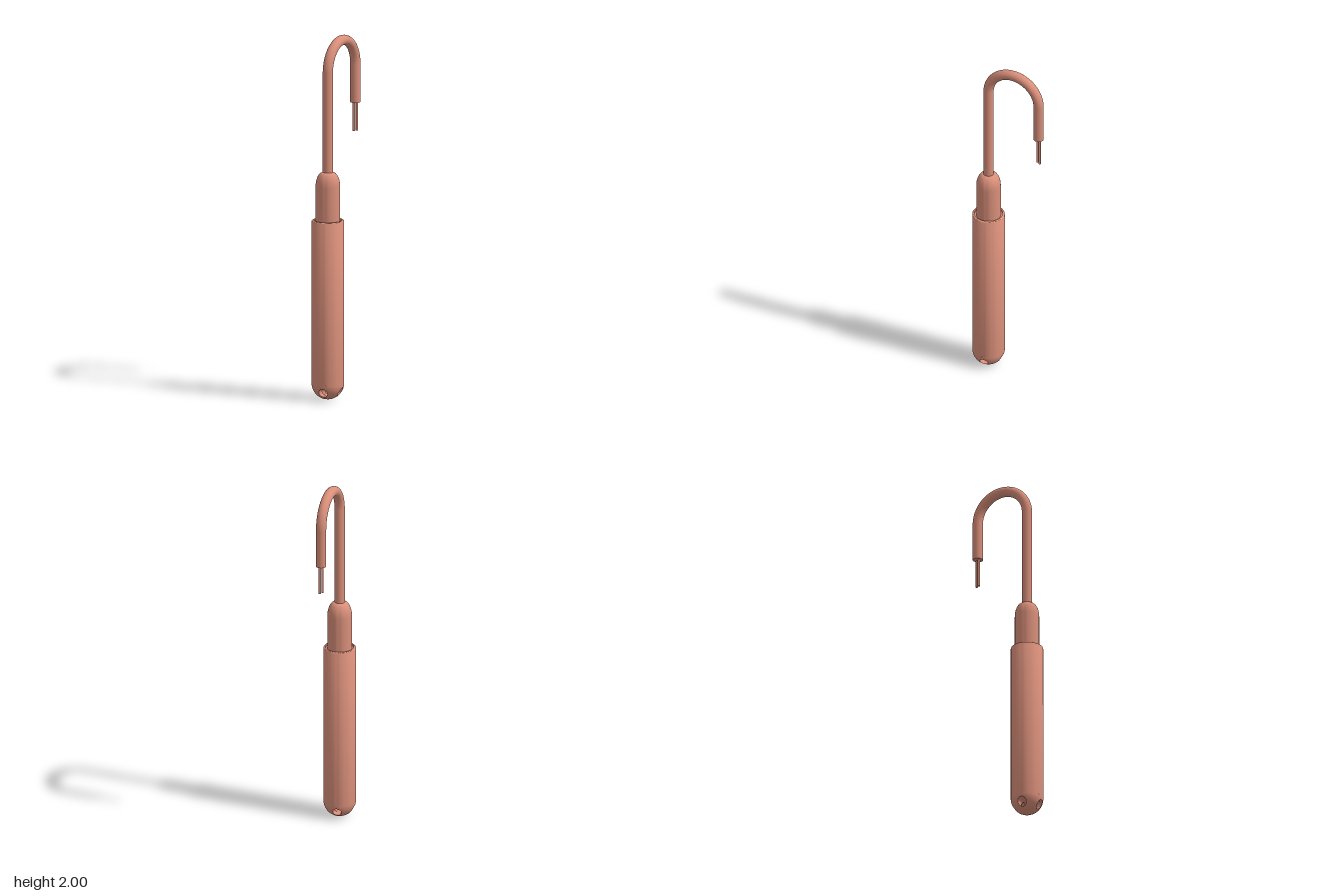
import * as THREE from 'three';
import { mergeGeometries, toCreasedNormals } from 'three/addons/utils/BufferGeometryUtils.js';

const R = 0.089;                 // body radius
const CX = -0.011, CZ = 0.119;   // body axis
const EX = 0.07, EZ = -0.18;     // hanging cable end

const material = new THREE.MeshStandardMaterial({ color: 0xd98f7a });

function add(parent, name, geometry, x = 0, y = 0, z = 0) {
  const mesh = new THREE.Mesh(geometry, material);
  mesh.name = name;
  mesh.position.set(x, y, z);
  parent.add(mesh);
  return mesh;
}

const lathe = (points, sides) =>
  new THREE.LatheGeometry(points.map(([r, y]) => new THREE.Vector2(r, y)), sides);

// Vertical rod between two heights
function rod(parent, name, radius, y0, y1, x, z, sides = 24) {
  return add(parent, name, new THREE.CylinderGeometry(radius, radius, y1 - y0, sides), x, (y0 + y1) / 2, z);
}

// One quarter of the round bottom with a hole facing +z, plus the hole wall
// running in to where it meets the crossing hole
function drilledQuarter(holeR, holeY) {
  const N = 64, skinRows = 8, rows = skinRows + 2;
  const phiC = Math.acos(1 - holeY / R);
  const pos = [], index = [];
  for (let i = 0; i <= rows; i++) {
    for (let j = 0; j <= N; j++) {
      const t = (j / N) * Math.PI * 2, u = Math.cos(t), v = Math.sin(t);
      const x = holeR * u, y = holeY + holeR * v;
      const ring = Math.sqrt(R * R - (R - y) ** 2);
      if (i > skinRows) {
        // hole wall
        const z = i === rows ? Math.abs(x) : Math.sqrt(ring * ring - x * x);
        pos.push(x, y, z);
      } else {
        // blend from the square border of the quarter to the hole rim
        const m = Math.max(Math.abs(u), Math.abs(v)), k = i / skinRows;
        const sy = v / m;
        const az0 = (u / m) * Math.PI / 4;
        const phi0 = phiC + sy * (sy > 0 ? Math.PI / 2 - phiC : phiC);
        const az = THREE.MathUtils.lerp(az0, Math.asin(x / ring), k);
        const phi = THREE.MathUtils.lerp(phi0, Math.acos(1 - y / R), k);
        const r = R * Math.sin(phi);
        pos.push(r * Math.sin(az), R * (1 - Math.cos(phi)), r * Math.cos(az));
      }
    }
  }
  for (let i = 0; i < rows; i++) {
    for (let j = 0; j < N; j++) {
      const a = i * (N + 1) + j, c = a + N + 1;
      index.push(a, a + 1, c, a + 1, c + 1, c);
    }
  }
  const g = new THREE.BufferGeometry();
  g.setAttribute('position', new THREE.Float32BufferAttribute(pos, 3));
  g.setIndex(index);
  return g;
}

function bodyGeometry() {
  const profile = [[R, R], [R, 0.99]];
  for (let i = 1; i <= 4; i++) {
    const a = (i / 4) * Math.PI / 2;
    profile.push([R - 0.008 * (1 - Math.cos(a)), 0.99 + 0.008 * Math.sin(a)]);
  }
  // shallow recess inside the rim
  profile.push([0.077, 0.998], [0.077, 0.988], [0.06, 0.988]);
  const shell = lathe(profile, 64);
  shell.deleteAttribute('uv');
  shell.deleteAttribute('normal');
  const parts = [shell];
  for (let q = 0; q < 4; q++) {
    parts.push(drilledQuarter(0.024, 0.045).rotateY(q * Math.PI / 2));
  }
  return toCreasedNormals(mergeGeometries(parts), 0.6);
}

function neckGeometry() {
  const profile = [[0.067, 0.985]];
  for (let i = 0; i <= 10; i++) {
    const a = (i / 10) * Math.PI / 2;
    profile.push([0.026 + 0.041 * Math.cos(a), 1.185 + 0.08 * Math.sin(a)]);
  }
  return toCreasedNormals(lathe(profile, 48), 0.6);
}

export function createModel() {
  const model = new THREE.Group();
  model.name = 'cabledProbe';

  // Cylindrical body with crossing holes in its round end
  add(model, 'body', bodyGeometry(), CX, 0, CZ).rotation.y = THREE.MathUtils.degToRad(-7);
  add(model, 'neck', neckGeometry(), CX, 0, CZ);

  // Cable: rises, bends over and hangs down
  const cable = new THREE.Group();
  cable.name = 'cable';
  cable.position.set(CX, 0, CZ);
  cable.rotation.y = Math.atan2(CZ - EZ, EX - CX);
  model.add(cable);
  const span = Math.hypot(EX - CX, EZ - CZ), cableR = 0.028;
  const bendY = 2 - cableR - span / 2;
  rod(cable, 'cableRise', cableR, 1.25, bendY, 0, 0);
  add(cable, 'cableBend', new THREE.TorusGeometry(span / 2, cableR, 24, 40, Math.PI), span / 2, bendY, 0);
  rod(cable, 'cableEnd', cableR, 1.6, bendY, span, 0);

  // Two wires leaving the cable end
  for (const s of [-1, 1]) {
    rod(model, 'wire', 0.0065, 1.44, 1.61, EX + s * 0.007, EZ - s * 0.007, 16);
  }
  return model;
}
